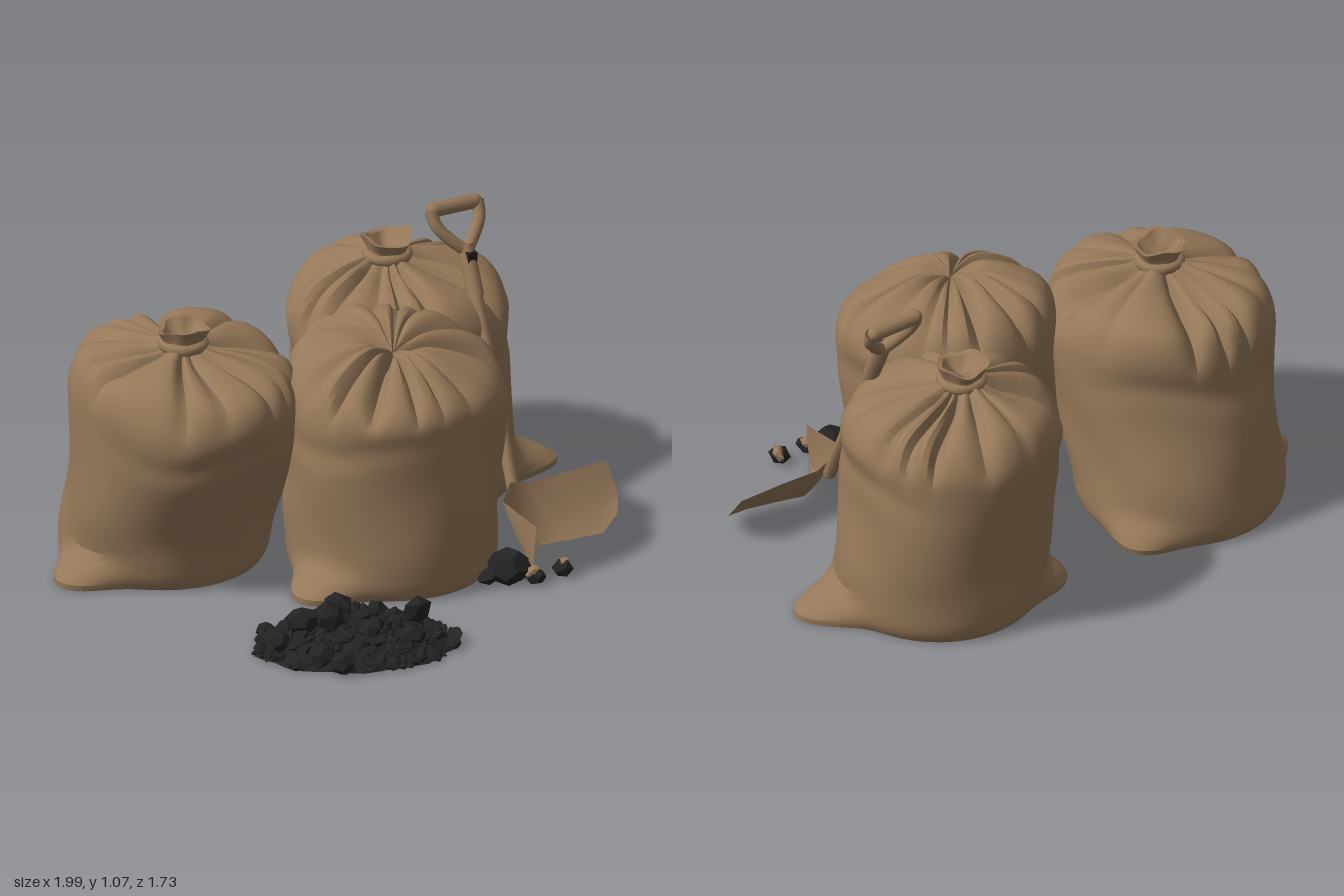
import * as THREE from 'three';
import { mergeGeometries, toCreasedNormals } from 'three/addons/utils/BufferGeometryUtils.js';

const burlap = new THREE.MeshStandardMaterial({ color: 0x967859, side: THREE.DoubleSide });
burlap.name = 'brown burlap';
const coal = new THREE.MeshStandardMaterial({ color: 0x232323 });
coal.name = 'black coal';

const V = (x, y, z) => new THREE.Vector3(x, y, z);
const { smoothstep: smooth, lerp } = THREE.MathUtils;

function randomizer(seed) {
  return () => {
    seed = (seed * 16807) % 2147483647;
    return seed / 2147483647;
  };
}

function add(group, name, geometry, material) {
  const mesh = new THREE.Mesh(geometry, material);
  mesh.name = name;
  group.add(mesh);
  return mesh;
}

// Closed-ring surface: point(row, angle) gives each vertex, rows run bottom to top
function ringSurface(rows, segments, point, crease) {
  const positions = [], index = [];
  for (let i = 0; i < rows; i++)
    for (let j = 0; j < segments; j++)
      positions.push(...point(i, (j / segments) * Math.PI * 2).toArray());
  for (let i = 0; i < rows - 1; i++)
    for (let j = 0; j < segments; j++) {
      const a = i * segments + j, b = i * segments + (j + 1) % segments;
      const c = a + segments, d = b + segments;
      index.push(a, c, b, b, c, d);
    }
  const g = new THREE.BufferGeometry();
  g.setAttribute('position', new THREE.Float32BufferAttribute(positions, 3));
  g.setIndex(index);
  return toCreasedNormals(g, crease);
}

// Sack: flat bottom with two seam ears, bulging body, pleated shoulders drawn to a neck
function sack(name, s) {
  const group = new THREE.Group();
  group.name = name;
  const profile = new THREE.SplineCurve(s.profile.map(([r, y]) => new THREE.Vector2(r, y)));
  const samples = profile.getSpacedPoints(44);
  const body = (i, a) => {
    if (i === 0) return V(s.base[0], 0, s.base[1]);
    const p = samples[i - 1];
    const t = (i - 1) / 44;
    let r = Math.max(p.x, 0.004), y = Math.max(p.y, 0);
    const inner = smooth(t, 0.7, 1);
    const low = 1 - smooth(y, 0.0, 0.12);
    // Broad dents of the filled cloth and a sagging crease below the shoulders
    const bodyMask = smooth(y, 0.05, 0.25) * (1 - inner);
    r += bodyMask * (0.007 * Math.sin(3 * a + 7 * y + s.seed) + 0.005 * Math.sin(5 * a - 11 * y + 2 * s.seed));
    const sag = (y - 0.55 - 0.03 * Math.sin(3 * a + s.seed)) / 0.045;
    r -= 0.012 * Math.exp(-sag * sag) * (0.5 + 0.5 * Math.sin(2 * a + s.seed));
    // Seam ears at the two bottom corners
    for (const [angle, length] of s.ears)
      r += low * length * Math.pow(Math.max(0, Math.cos(a - angle)), 20);
    // Sharp pleats radiating from the neck
    const w = a + 0.22 * Math.sin(2 * a + s.seed) + 0.1 * Math.sin(5 * a + 2 * s.seed);
    const fold = Math.pow(1 - Math.abs(Math.sin(w * s.pleats / 2)), 1.5);
    const depth = 0.65 + 0.35 * Math.sin(3 * a + s.seed * 3);
    const pleat = smooth(t, 0.52, 0.74) * (1 - 0.7 * smooth(t, 0.92, 1));
    y -= 0.07 * pleat * fold * depth;
    r *= 1 - 0.05 * pleat * fold * depth;
    y += 0.012 * smooth(t, 0.65, 0.85) * Math.sin(4 * a + s.seed);
    const lift = smooth(y, 0, 0.65);
    const x0 = lerp(lerp(s.base[0], s.top[0], lift), s.neck[0], inner);
    const z0 = lerp(lerp(s.base[1], s.top[1], lift), s.neck[1], inner);
    const z = r * Math.sin(a) * (1 + (s.stretch - 1) * lift * (1 - inner));
    y += s.tilt * z * smooth(t, 0.5, 0.75);
    return V(x0 + r * Math.cos(a), y, z0 + z);
  };
  add(group, name + 'Body', ringSurface(46, 112, body, 0.5), burlap);

  if (s.tied) {
    // Cord ring and flared, crumpled mouth
    const cord = add(group, name + 'Tie', new THREE.TorusGeometry(0.068, 0.02, 8, 28), burlap);
    cord.rotation.x = Math.PI / 2;
    cord.position.set(s.neck[0], 0.845, s.neck[1]);
    const mouth = [[0.07, 0.79], [0.066, 0.855], [0.078, 0.885], [0.088, 0.908], [0.07, 0.905], [0.045, 0.875], [0.003, 0.85]];
    const ruffle = (i, a) => {
      const k = smooth(i, 0, 3);
      const r = mouth[i][0] * (1 + 0.08 * k * Math.sin(5 * a + s.seed));
      return V(s.neck[0] + r * Math.cos(a), mouth[i][1] + 0.01 * k * Math.sin(2 * a + s.seed), s.neck[1] + r * Math.sin(a));
    };
    add(group, name + 'Mouth', ringSurface(mouth.length, 42, ruffle, 0.6), burlap);
  }
  return group;
}

// One irregular faceted lump, flatter when flat is small
function lump(random, x, y, z, size, flat = 0.65) {
  const g = random() < 0.5 ? new THREE.DodecahedronGeometry(size) : new THREE.IcosahedronGeometry(size, 0);
  g.scale(0.75 + random() * 0.5, flat + random() * 0.3, 0.75 + random() * 0.5);
  g.rotateX(random() * 1.2).rotateY(random() * 6).rotateZ(random() * 0.8);
  g.computeBoundingBox();
  return g.translate(x, Math.max(y, -g.boundingBox.min.y), z);
}

function coalPile() {
  const group = new THREE.Group();
  group.name = 'coalPile';
  const random = randomizer(4217);
  const chips = [];
  // Elongated mound covered in chips
  const place = (rho, a) => {
    const u = 0.345 * rho * Math.cos(a), v = 0.22 * rho * Math.sin(a);
    return [-0.41 + u * 0.9 - v * 0.43, 0.59 + u * 0.43 + v * 0.9];
  };
  const height = (rho) => 0.115 * (1 - Math.pow(rho, 1.8));
  for (let i = 0; i < 480; i++) {
    const rho = Math.sqrt(random()) * 1.02;
    const [x, z] = place(rho, random() * Math.PI * 2);
    chips.push(lump(random, x, Math.max(0, height(rho)), z, 0.012 + 0.024 * random() ** 2, 0.3));
  }
  add(group, 'coalChips', mergeGeometries(chips), coal);

  const mound = (i, a) => {
    if (i === 0) return V(-0.41, 0, 0.59);
    const rho = 1 - (i - 1) / 6;
    const [x, z] = place(rho * (1 + 0.04 * Math.sin(9 * a)), a);
    return V(x, height(rho), z);
  };
  add(group, 'coalMound', ringSurface(8, 36, mound, 0.2), coal);

  const big = [[-0.52, 0.145, 0.6, 0.058], [-0.45, 0.14, 0.54, 0.052], [-0.58, 0.11, 0.52, 0.06], [-0.22, 0.12, 0.68, 0.056],
    [-0.36, 0.1, 0.6, 0.05], [-0.3, 0.09, 0.55, 0.045], [-0.6, 0.05, 0.68, 0.05], [-0.57, 0.03, 0.76, 0.045],
    [-0.4, 0.1, 0.68, 0.045], [-0.67, 0.05, 0.52, 0.045], [-0.2, 0.06, 0.62, 0.045], [-0.28, 0.07, 0.75, 0.045]];
  add(group, 'coalLumps', mergeGeometries(big.map(([x, y, z, r]) => lump(random, x, y, z, r))), coal);
  return group;
}

function looseCoal() {
  const group = new THREE.Group();
  group.name = 'looseCoal';
  const random = randomizer(91);
  const stones = [[0.31, 0.055, 0.43, 0.062], [0.25, 0.03, 0.41, 0.042], [0.36, 0.04, 0.43, 0.045], [0.38, 0.018, 0.495, 0.037], [0.49, 0.018, 0.495, 0.037]];
  add(group, 'coalPieces', mergeGeometries(stones.map(([x, y, z, r]) => lump(random, x, y, z, r))), coal);
  const dusty = [[0.375, 0.042, 0.487], [0.495, 0.042, 0.487]];
  add(group, 'dustyTops', mergeGeometries(dusty.map(([x, y, z]) => lump(random, x, y, z, 0.033, 0.5))), burlap);
  return group;
}

function shovel() {
  const group = new THREE.Group();
  group.name = 'shovel';
  const tube = (name, points, radius) => {
    const curve = new THREE.CatmullRomCurve3(points);
    add(group, name, new THREE.TubeGeometry(curve, 16, radius, 10), burlap);
  };
  const fork = V(0.59, 0.9, -0.265);
  tube('shaft', [V(0.52, 0.15, 0.15), V(0.537, 0.3, 0.065), V(0.568, 0.62, -0.11), fork], 0.023);
  tube('shaftCollar', [V(0.58, 0.76, -0.19), V(0.588, 0.86, -0.245), V(0.592, 0.92, -0.275)], 0.029);
  // D-shaped grip
  for (const side of [-1, 1])
    tube('gripArm', [fork, V(0.59 + side * 0.045, 0.94, -0.29), V(0.59 + side * 0.085, 0.99, -0.318), V(0.59 + side * 0.095, 1.04, -0.345)], 0.022);
  const bar = add(group, 'gripBar', new THREE.CapsuleGeometry(0.026, 0.165, 5, 12), burlap);
  bar.rotation.z = Math.PI / 2 - 0.04;
  bar.position.set(0.59, 1.04, -0.345);
  const pin = add(group, 'gripPin', new THREE.BoxGeometry(0.035, 0.035, 0.03), coal);
  pin.position.set(0.59, 0.89, -0.24);

  // Folded blade: upper and lower edges joined by a slightly bowed sheet
  const upper = [V(0.43, 0.17, 0.42), V(0.425, 0.19, 0.22), V(0.5, 0.215, 0.15), V(0.58, 0.19, 0.135), V(0.72, 0.19, 0.135), V(0.9, 0.19, 0.125)];
  const lower = [V(0.41, 0.0, 0.43), V(0.46, 0.0, 0.34), V(0.55, 0.01, 0.26), V(0.65, 0.012, 0.28), V(0.78, 0.015, 0.3), V(0.86, 0.05, 0.26)];
  const positions = [], index = [], rows = 5;
  upper.forEach((top, i) => {
    for (let k = 0; k < rows; k++) {
      const t = k / (rows - 1);
      const p = top.clone().lerp(lower[i], t);
      p.y -= 0.02 * Math.sin(Math.PI * t);
      if (i === upper.length - 1) p.x += 0.025 * Math.sin(Math.PI * t);
      positions.push(p.x, Math.max(p.y, 0), p.z);
      if (i && k) {
        const d = i * rows + k, c = d - 1, b = d - rows, a = b - 1;
        index.push(a, b, c, c, b, d);
      }
    }
  });
  const g = new THREE.BufferGeometry();
  g.setAttribute('position', new THREE.Float32BufferAttribute(positions, 3));
  g.setIndex(index);
  add(group, 'blade', toCreasedNormals(g, 0.6), burlap);
  return group;
}

export function createModel() {
  const model = new THREE.Group();
  model.name = 'coalSacks';
  const side = [[0.34, 0], [0.36, 0.05], [0.365, 0.2], [0.37, 0.4], [0.378, 0.58]];
  const slopedTop = [...side, [0.375, 0.68], [0.32, 0.765], [0.2, 0.81], [0.11, 0.83], [0.06, 0.845]];
  const squareTop = [...side, [0.373, 0.7], [0.325, 0.785], [0.2, 0.82], [0.11, 0.83], [0.06, 0.845]];
  const openTop = [...side, [0.37, 0.69], [0.32, 0.77], [0.22, 0.82], [0.12, 0.84], [0.05, 0.82], [0.0, 0.79]];
  model.add(
    sack('leftBackSack', { base: [0.49, -0.46], top: [0.445, -0.48], neck: [0.42, -0.5], profile: slopedTop,
      ears: [[0.26, 0.18], [3.6, 0.1]], pleats: 13, seed: 1.3, tilt: -0.03, stretch: 1, tied: true }),
    sack('rightBackSack', { base: [-0.53, -0.43], top: [-0.535, -0.28], neck: [-0.56, -0.26], profile: squareTop,
      ears: [[Math.PI - 0.17, 0.135], [-0.6, 0.08]], pleats: 13, seed: 4.1, tilt: -0.05, stretch: 1.12, tied: true }),
    sack('frontSack', { base: [0.075, 0.065], top: [0.085, 0.065], neck: [0.05, 0.11], profile: openTop,
      ears: [[Math.PI - 0.3, 0.14], [-0.4, 0.06]], pleats: 13, seed: 2.2, tilt: -0.17, stretch: 0.99, tied: false }),
    coalPile(), looseCoal(), shovel());
  return model;
}
